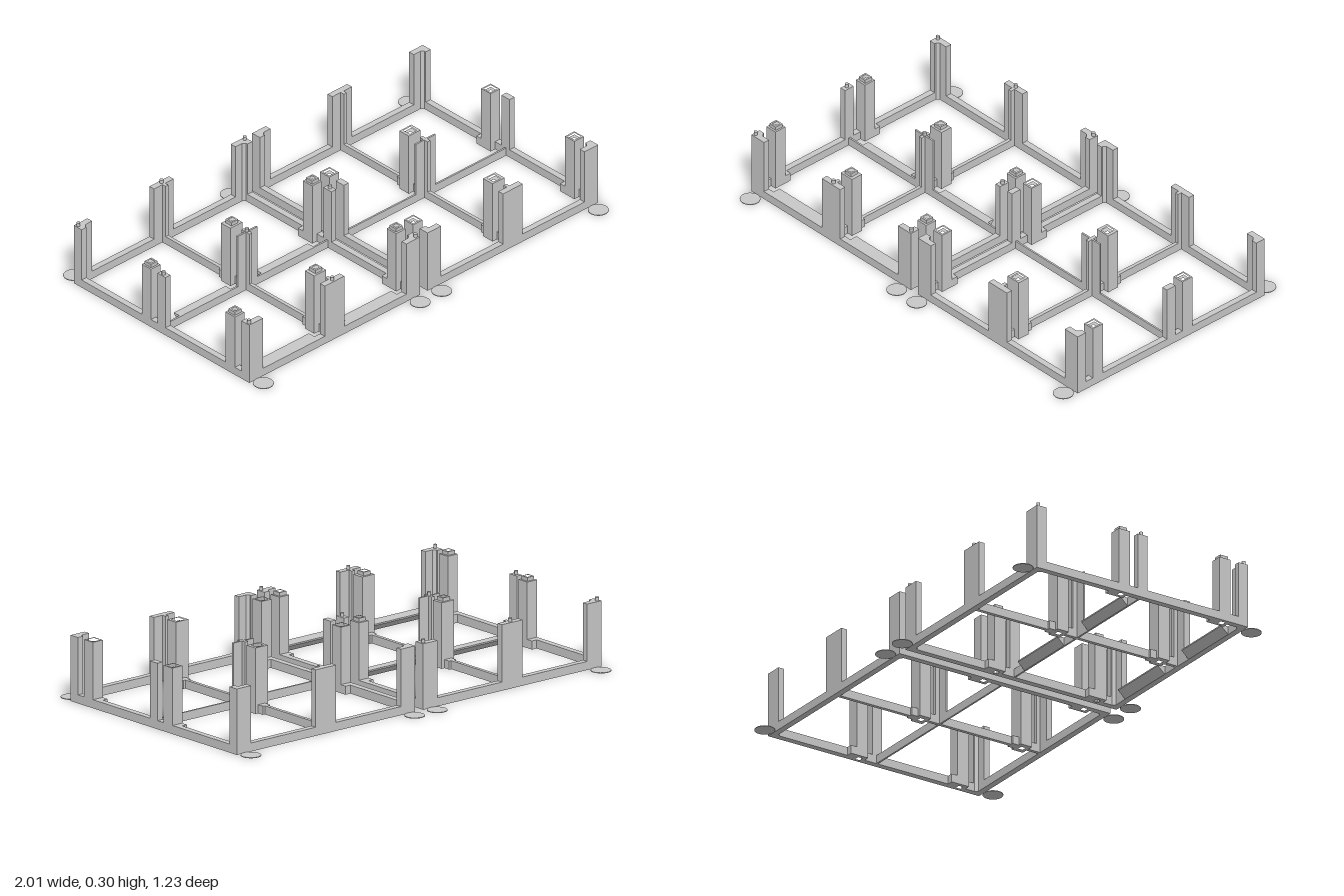
import * as THREE from 'three';

const grey = new THREE.MeshStandardMaterial({ color: 0xc8c8c8 });
grey.name = 'light grey';

const HALF = 0.489;      // half width of one tray frame
const DEPTH = 0.5275;    // half depth of one tray frame
const WALL = 0.028;      // rail thickness
const RAIL = 0.037;      // rail height
const TOP = 0.285;       // post height

function add(group, name, geometry, x = 0, y = 0, z = 0) {
  const mesh = new THREE.Mesh(geometry, grey);
  mesh.name = name;
  mesh.position.set(x, y, z);
  group.add(mesh);
}

// Box given by its limits on each axis
function box(group, name, x0, x1, y0, y1, z0, z1) {
  add(group, name, new THREE.BoxGeometry(Math.abs(x1 - x0), y1 - y0, Math.abs(z1 - z0)),
    (x0 + x1) / 2, (y0 + y1) / 2, (z0 + z1) / 2);
}

// Upright prism from a ground plan of [x, z] points, with an optional hole
function prism(points, height, hole) {
  const toVectors = (list) => list.map(([x, z]) => new THREE.Vector2(x, -z));
  const shape = new THREE.Shape(toVectors(points));
  if (hole) shape.holes.push(new THREE.Path(toVectors(hole)));
  const geometry = new THREE.ExtrudeGeometry(shape, { depth: height, bevelEnabled: false });
  return geometry.rotateX(-Math.PI / 2);
}

const rect = (w, d) => [[-w / 2, -d / 2], [w / 2, -d / 2], [w / 2, d / 2], [-w / 2, d / 2]];

function pin(group, x, z) {
  add(group, 'locatingPin', new THREE.CylinderGeometry(0.008, 0.008, 0.016, 16), x, TOP + 0.008, z);
}

// Hollow square post: a raised spigot on one frame, a matching socket on the other
function connector(group, x, z, width, footX0, footX1, male) {
  const d = 0.056, lip = 0.016;
  const bore = rect(0.022, 0.022);
  add(group, 'connectorPost', prism(rect(width, d), male ? TOP : TOP - lip, bore), x, 0, z);
  if (male) add(group, 'connectorSpigot', prism(rect(0.038, 0.038), lip, bore), x, TOP, z);
  else add(group, 'connectorSocket', prism(rect(width, d), lip, rect(0.039, 0.039)), x, TOP - lip, z);
  box(group, 'connectorFoot', footX0, footX1, 0, RAIL, z - d / 2 - 0.03, z - d / 2);
}

// Ledge with a flat top and an underside sloping down to the rail at z1
function ledge(group, xMid, length, z0, z1) {
  const section = new THREE.Shape([
    new THREE.Vector2(-z0, RAIL), new THREE.Vector2(-z0, RAIL - 0.006),
    new THREE.Vector2(-z1, 0), new THREE.Vector2(-z1, RAIL),
  ]);
  const geometry = new THREE.ExtrudeGeometry(section, { depth: length, bevelEnabled: false });
  geometry.translate(0, 0, -length / 2).rotateY(Math.PI / 2);
  add(group, 'ledge', geometry, xMid);
}

function buildFrame(male) {
  const g = new THREE.Group();
  g.name = male ? 'pinFrame' : 'socketFrame';
  const spans = [[-DEPTH + WALL, -0.119], [-0.063, 0.385], [0.441, DEPTH - WALL]];
  const connectorZ = [-0.091, 0.413];

  // Front and back rails with a wide central post and a thin rib behind it
  for (const s of [-1, 1]) {
    box(g, 'endRail', -HALF, HALF, 0, RAIL, s * (DEPTH - WALL), s * DEPTH);
    box(g, 'centreEndPost', -0.056, 0.056, RAIL, TOP, s * (DEPTH - WALL), s * DEPTH);
    box(g, 'centreEndRib', -0.008, 0.008, RAIL, TOP, s * (DEPTH - 0.047), s * (DEPTH - WALL));
    if (male) pin(g, 0, s * (DEPTH - 0.014));
  }

  // Side rails, corner posts and middle side posts
  for (const s of [-1, 1]) {
    for (const [a, b] of spans) {
      box(g, 'sideRail', s * (HALF - WALL), s * HALF, 0, RAIL, a, b);
    }
    box(g, 'middleSidePost', s * (HALF - WALL), s * HALF, RAIL, TOP, -0.024, 0.024);
    if (male) pin(g, s * (HALF - 0.012), 0);

    for (const t of [-1, 1]) {
      const plan = [[0, 0], [0.078, 0], [0.078, WALL], [0.04, WALL], [WALL, 0.04], [WALL, 0.047], [0, 0.047]]
        .map(([x, z]) => [s * (HALF - x), t * (DEPTH - z)]);
      add(g, 'cornerPost', prism(plan, TOP));
      if (male) pin(g, s * (HALF - 0.012), t * (DEPTH - 0.014));
      // Flat round foot pads
      add(g, 'footPad', new THREE.CylinderGeometry(0.043, 0.043, 0.003, 32),
        s * (HALF - 0.04), 0.0015, t * 0.571);
    }

    for (const z of connectorZ) {
      connector(g, s * (HALF - 0.027), z, 0.054, s * (HALF - 0.025), s * (HALF - 0.054), male);
    }
  }

  // Thin inner cross rails and the slim post where they meet
  for (const [a, b] of spans) box(g, 'innerLongRail', -0.008, 0.008, 0, RAIL, a, b);
  box(g, 'innerCrossRail', -HALF + WALL, HALF - WALL, 0, RAIL, -0.004, 0.004);
  box(g, 'centrePostWide', -0.056, 0.056, RAIL, TOP, -0.004, 0.004);
  box(g, 'centrePostDeep', -0.008, 0.008, RAIL, TOP, -0.024, 0.024);
  if (male) pin(g, 0, 0);
  for (const z of connectorZ) connector(g, 0, z, 0.068, -0.019, 0.019, male);

  // Sloped ledges behind the front and cross rails of the pin frame
  if (male) {
    for (const [z0, z1] of [[-0.036, -0.004], [0.465, DEPTH - WALL]]) {
      for (const s of [-1, 1]) ledge(g, s * 0.2355, 0.295, z0, z1);
    }
  }
  return g;
}

export function createModel() {
  const model = new THREE.Group();
  model.name = 'stackingFrames';
  for (const male of [true, false]) {
    const frame = buildFrame(male);
    frame.position.x = male ? -0.511 : 0.511;
    model.add(frame);
  }
  return model;
}
